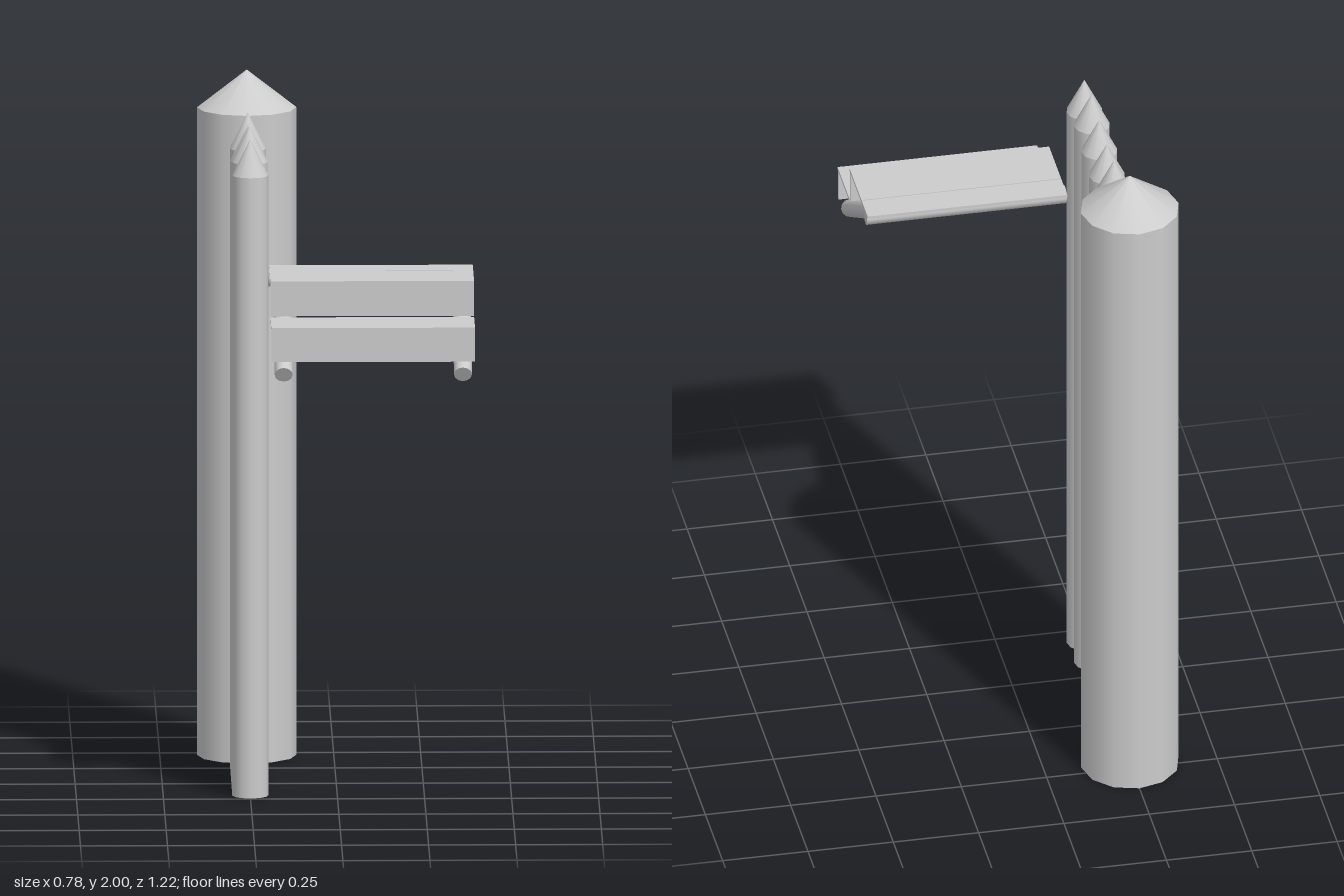
import * as THREE from 'three';

export function createModel() {
  const model = new THREE.Group();
  const grey = new THREE.MeshStandardMaterial({ color: 0xcccccc, side: THREE.DoubleSide });
  grey.name = 'plain grey';

  const add = (parent, name, geometry, x, y, z) => {
    const mesh = new THREE.Mesh(geometry, grey);
    mesh.name = name;
    mesh.position.set(x, y, z);
    parent.add(mesh);
    return mesh;
  };

  // Hollow upright log with a pointed top
  const addPost = (name, z, radius, shoulder, tip) => {
    const post = new THREE.Group();
    post.name = name;
    post.position.set(-0.25, 0, z);
    add(post, 'shaft', new THREE.CylinderGeometry(radius, radius, shoulder, 12, 1, true), 0, shoulder / 2, 0);
    add(post, 'point', new THREE.ConeGeometry(radius, tip - shoulder, 12, 1, true), 0, (shoulder + tip) / 2, 0);
    model.add(post);
  };

  // Large corner post and the row of palisade stakes
  addPost('cornerPost', -0.467, 0.143, 1.89, 2);
  [1.915, 1.935, 1.915, 1.9, 1.915, 1.91].forEach((tip, i) =>
    addPost('stake' + (i + 1), 0.19 - i * 0.1085, 0.052, tip - 0.105, tip));

  // Stair: boards given by their y and z ranges
  const stair = new THREE.Group();
  stair.name = 'stair';
  model.add(stair);
  const addBoard = (name, y0, y1, z0, z1) =>
    add(stair, name, new THREE.BoxGeometry(0.585, y1 - y0, z1 - z0), 0.097, (y0 + y1) / 2, (z0 + z1) / 2);
  addBoard('landing', 1.535, 1.543, 0.167, 0.254);
  addBoard('upperTread', 1.535, 1.543, 0.257, 0.43);
  addBoard('upperRiser', 1.44, 1.535, 0.416, 0.423);
  addBoard('lowerTread', 1.43, 1.438, 0.43, 0.604);
  addBoard('lowerRiser', 1.337, 1.43, 0.588, 0.595);

  // Round beam under the landing
  add(stair, 'crossBeam', new THREE.CylinderGeometry(0.026, 0.026, 0.585, 12), 0.094, 1.516, 0.214)
    .rotation.z = Math.PI / 2;

  // Two sloping round stringers
  const top = new THREE.Vector3(0, 1.517, 0.235);
  const foot = new THREE.Vector3(0, 1.3, 0.594);
  const slope = top.clone().sub(foot);
  for (const x of [-0.16, 0.355]) {
    add(stair, x < 0 ? 'rightStringer' : 'leftStringer',
      new THREE.CylinderGeometry(0.026, 0.026, slope.length(), 12),
      x, (top.y + foot.y) / 2, (top.z + foot.z) / 2)
      .rotation.x = Math.atan2(slope.z, slope.y);
  }

  return model;
}
